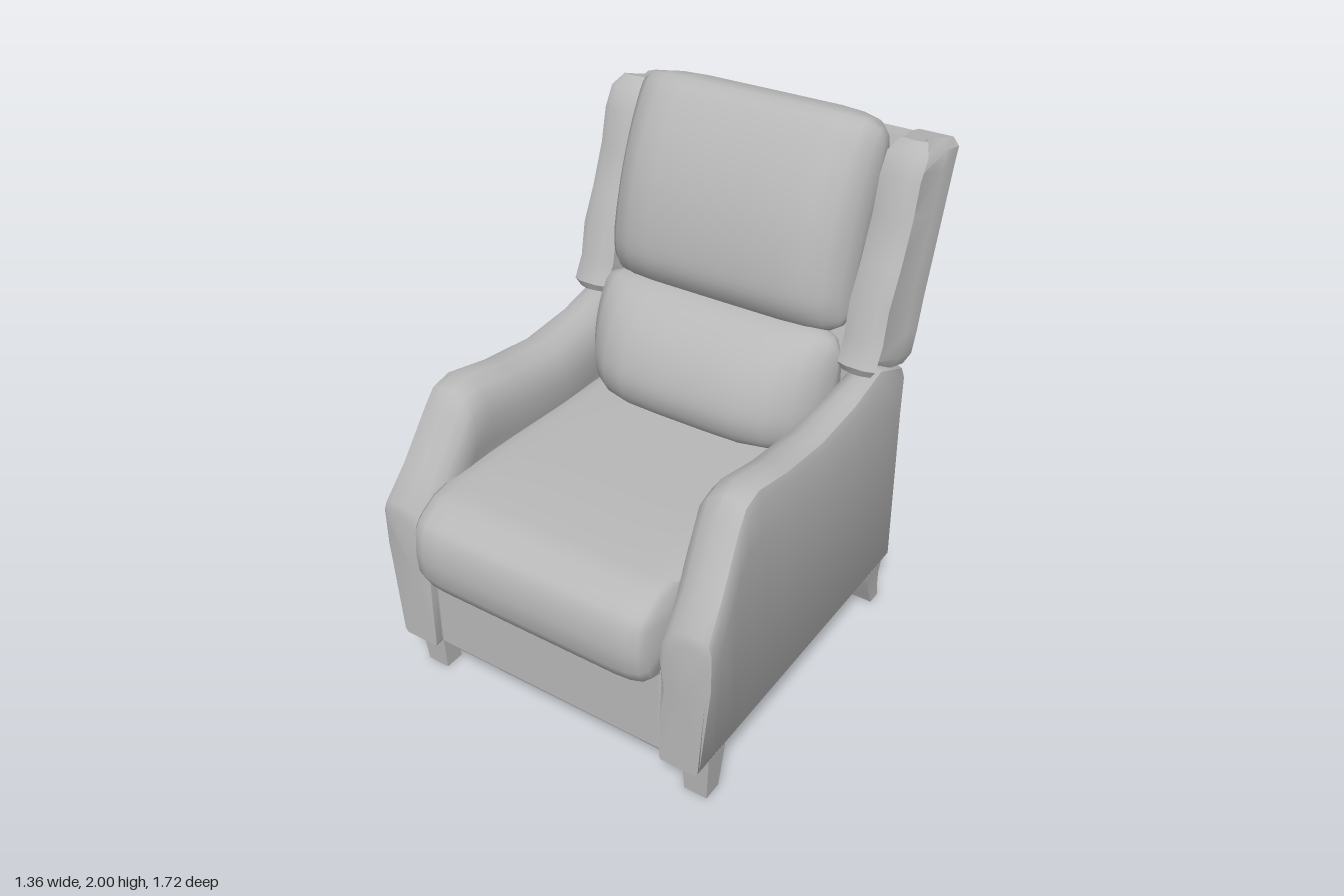
import * as THREE from 'three';
import { toCreasedNormals } from 'three/addons/utils/BufferGeometryUtils.js';
import { RoundedBoxGeometry } from 'three/addons/geometries/RoundedBoxGeometry.js';

const upholstery = new THREE.MeshStandardMaterial({ color: 0xb8b8b8 });
upholstery.name = 'grey upholstery';

// Skin a list of equal-length closed loops of [x, y, z], with end caps, always facing outwards
function loft(rows, crease = 0.7) {
  const n = rows[0].length, pos = rows.flat(2), idx = [];
  for (let r = 0; r < rows.length - 1; r++) {
    for (let i = 0; i < n; i++) {
      const a = r * n + i, b = r * n + (i + 1) % n;
      idx.push(a, b, a + n, b, b + n, a + n);
    }
  }
  [0, rows.length - 1].forEach((r, end) => {
    const c = pos.length / 3;
    for (let k = 0; k < 3; k++) pos.push(rows[r].reduce((s, p) => s + p[k], 0) / n);
    for (let i = 0; i < n; i++) {
      const a = r * n + i, b = r * n + (i + 1) % n;
      idx.push(...(end ? [a, b, c] : [b, a, c]));
    }
  });
  // The sign of the volume tells whether the winding must be reversed
  const v = i => new THREE.Vector3().fromArray(pos, i * 3);
  let volume = 0;
  for (let i = 0; i < idx.length; i += 3) volume += v(idx[i]).dot(v(idx[i + 1]).cross(v(idx[i + 2])));
  if (volume < 0) idx.reverse();
  const g = new THREE.BufferGeometry();
  g.setAttribute('position', new THREE.Float32BufferAttribute(pos, 3));
  g.setIndex(idx);
  return toCreasedNormals(g, crease);
}

// Smooth closed [z, y] profile
function smooth(points, count = 40) {
  const curve = new THREE.CatmullRomCurve3(points.map(([z, y]) => new THREE.Vector3(0, y, z)), true);
  return curve.getPoints(count).slice(0, count).map(p => [p.z, p.y]);
}

// Cushion: side profile swept across x, shrinking towards both ends.
// stations: [x, height scale, depth scale]; the middle plane leans by k
function cushion(profile, [zc, yc, k], stations) {
  const all = [...stations.map(([x, h, d]) => [-x, h, d]).reverse(), ...stations];
  return loft(all.map(([x, h, d]) => profile.map(([z, y]) => {
    const dy = (y - yc) * h;
    return [x, yc + dy, zc + k * dy + (z - zc - k * (y - yc)) * d];
  })), 1.0);
}

// Arm: cross-sections along z; [z, top, outer x, inner x]
function armGeometry(s) {
  const stations = [
    [0.775, 0.74, 0.665, 0.5], [0.765, 0.78, 0.68, 0.485], [0.67, 0.9, 0.667, 0.475],
    [0.56, 1.07, 0.652, 0.46], [0.51, 1.135, 0.648, 0.452], [0.43, 1.155, 0.645, 0.45],
    [0.24, 1.115, 0.643, 0.45], [0, 1.09, 0.64, 0.45], [-0.23, 1.11, 0.64, 0.46],
    [-0.42, 1.155, 0.64, 0.48], [-0.6, 1.08, 0.64, 0.485], [-0.62, 1.06, 0.63, 0.49],
  ];
  return loft(stations.map(([z, t, o, i]) => [
    [0.495, 0.19], [0.63, 0.19], [0.642, 0.205], [o, t - 0.2], [o, t - 0.05], [o - 0.012, t - 0.015],
    [o - 0.045, t], [(o + i) / 2, t], [i + 0.045, t - 0.025], [i + 0.015, t - 0.07],
    [i, t - 0.14], [i + 0.01, t - 0.24], [0.49, t - 0.38], [0.49, 0.205],
  ].map(([x, y]) => [s * x, y, z])));
}

// Wing: sections climbing the back; [back z, back y, front z, front y, narrowing]
function wingGeometry(s) {
  const stations = [
    [-0.61, 1.08, -0.32, 1.16, 0.02], [-0.63, 1.12, -0.31, 1.19, 0], [-0.66, 1.2, -0.355, 1.27, 0],
    [-0.69, 1.32, -0.38, 1.4, 0], [-0.74, 1.48, -0.445, 1.53, 0], [-0.79, 1.64, -0.505, 1.68, 0],
    [-0.83, 1.77, -0.535, 1.81, 0], [-0.855, 1.84, -0.58, 1.885, 0], [-0.858, 1.868, -0.63, 1.92, 0.025],
  ];
  const section = [
    [0, 0.645], [0.3, 0.64], [0.6, 0.605], [0.82, 0.625], [0.94, 0.645], [1, 0.61], [1, 0.54],
    [0.94, 0.495], [0.7, 0.49], [0.3, 0.465], [0, 0.465],
  ];
  return loft(stations.map(([zb, yb, zf, yf, inset]) => section.map(([t, x]) => [
    s * (x + (x > 0.56 ? -inset : inset)), yb + (yf - yb) * t, zb + (zf - zb) * t,
  ])));
}

// Leg: tapering square sections; [y, centre x, centre z, half width, half depth]
function legGeometry(s, stations) {
  return loft(stations.map(([y, x, z, w, d]) =>
    [[-1, -1], [1, -1], [1, 1], [-1, 1]].map(([a, b]) => [s * (x + a * w), y, z + b * d])));
}

export function createModel() {
  const chair = new THREE.Group();
  chair.name = 'armchair';
  const add = (name, geometry, x = 0, y = 0, z = 0) => {
    const mesh = new THREE.Mesh(geometry, upholstery);
    mesh.name = name;
    mesh.position.set(x, y, z);
    chair.add(mesh);
  };

  // Mirrored parts
  for (const [s, side] of [[1, 'left'], [-1, 'right']]) {
    add(side + 'Arm', armGeometry(s));
    add(side + 'Wing', wingGeometry(s));
    add(side + 'FrontLeg', legGeometry(s, [[0, 0.58, 0.65, 0.045, 0.038], [0.2, 0.585, 0.65, 0.055, 0.052]]));
    add(side + 'BackLeg', legGeometry(s, [
      [0, 0.58, -0.57, 0.045, 0.03], [0.07, 0.58, -0.545, 0.047, 0.038],
      [0.14, 0.583, -0.52, 0.05, 0.047], [0.2, 0.585, -0.51, 0.055, 0.058],
    ]));
  }

  // Base panels around a recessed underside
  add('frontPanel', new RoundedBoxGeometry(0.98, 0.38, 0.1, 3, 0.02), 0, 0.385, 0.705);
  add('backPanel', new RoundedBoxGeometry(0.98, 0.87, 0.1, 3, 0.02), 0, 0.635, -0.57);
  add('underside', new THREE.BoxGeometry(0.98, 0.04, 1.2), 0, 0.28, 0.06);

  // Leaning backrest board
  const board = [[-0.61, 1.06], [-0.845, 1.84], [-0.855, 1.86], [-0.775, 1.865], [-0.5, 1.06]];
  add('backrest', loft([-0.475, 0.475].map(x => board.map(([z, y]) => [x, y, z]))));

  // Seat cushion with a thick rounded front
  const seat = [
    [-0.45, 0.56], [-0.45, 0.84], [0.3, 0.872], [0.68, 0.876], [0.75, 0.865], [0.81, 0.83],
    [0.835, 0.81], [0.857, 0.78], [0.867, 0.68], [0.86, 0.6], [0.835, 0.55], [0.79, 0.535], [0.7, 0.545],
  ];
  add('seatCushion', cushion(seat, [0.2, 0.69, 0], [
    [0.2, 1, 1], [0.36, 1, 1], [0.42, 0.99, 0.993], [0.46, 0.96, 0.975], [0.48, 0.9, 0.94],
  ]));

  // Lower back cushion
  const lumbar = smooth([
    [-0.1, 0.87], [-0.05, 0.97], [-0.08, 1.1], [-0.17, 1.22], [-0.3, 1.29], [-0.44, 1.26],
    [-0.48, 1.05], [-0.35, 0.85],
  ]);
  add('lumbarCushion', cushion(lumbar, [-0.34, 1.08, 0], [
    [0.1, 1, 1], [0.24, 1, 0.98], [0.34, 0.99, 0.88], [0.42, 0.95, 0.68], [0.47, 0.86, 0.45],
    [0.5, 0.65, 0.15],
  ]));

  // Upper back cushion
  const head = smooth([
    [-0.33, 1.27], [-0.27, 1.36], [-0.265, 1.47], [-0.31, 1.68], [-0.41, 1.88], [-0.52, 1.995],
    [-0.62, 1.985], [-0.72, 1.94], [-0.755, 1.86], [-0.68, 1.6], [-0.56, 1.3], [-0.43, 1.24],
  ]);
  add('headCushion', cushion(head, [-0.5, 1.62, -0.36], [
    [0.1, 1, 1], [0.27, 1, 0.99], [0.36, 0.99, 0.92], [0.43, 0.96, 0.75], [0.475, 0.88, 0.45],
    [0.49, 0.78, 0.15],
  ]));

  return chair;
}
